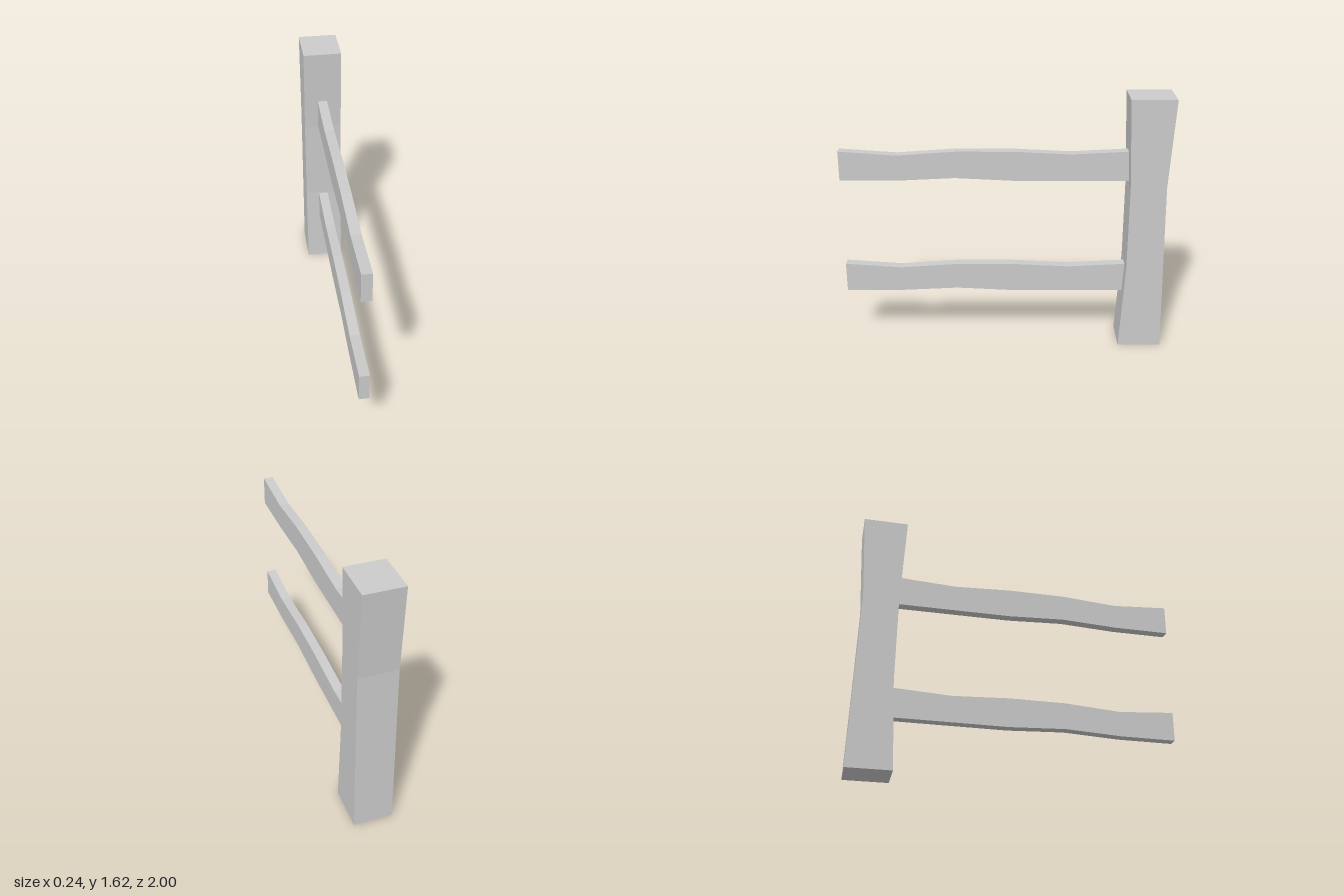
import * as THREE from 'three';

const material = new THREE.MeshStandardMaterial({ color: 0xcccccc, flatShading: true });

// Extrudes a side profile of [z, y] points across x, from x0 to x1
function slab(name, profile, x0, x1) {
  const shape = new THREE.Shape(profile.map(([z, y]) => new THREE.Vector2(z, y)));
  const geometry = new THREE.ExtrudeGeometry(shape, { depth: x1 - x0, bevelEnabled: false });
  geometry.rotateY(-Math.PI / 2).translate(x1, 0, 0);
  const mesh = new THREE.Mesh(geometry, material);
  mesh.name = name;
  return mesh;
}

export function createModel() {
  const group = new THREE.Group();
  group.name = 'fenceSection';

  // Square post with a slightly pinched waist
  group.add(slab('post', [
    [-1, 0], [-0.73, 0], [-0.757, 0.54], [-0.755, 1.08],
    [-0.73, 1.62], [-1, 1.62], [-0.972, 1.08], [-0.985, 0.54],
  ], -0.12, 0.12));

  // Two identical wavy rails, their ends set into the post
  const rail = [
    [-0.765, 0], [-0.4, 0], [-0.05, 0], [0.3, 0.017], [0.65, 0], [1, 0],
    [1, 0.185], [0.65, 0.16], [0.3, 0.185], [-0.05, 0.185], [-0.4, 0.168], [-0.765, 0.187],
  ];
  for (const [name, y] of [['lowerRail', 0.347], ['upperRail', 1.092]]) {
    const mesh = slab(name, rail, -0.033, 0.028);
    mesh.position.y = y;
    group.add(mesh);
  }
  return group;
}
